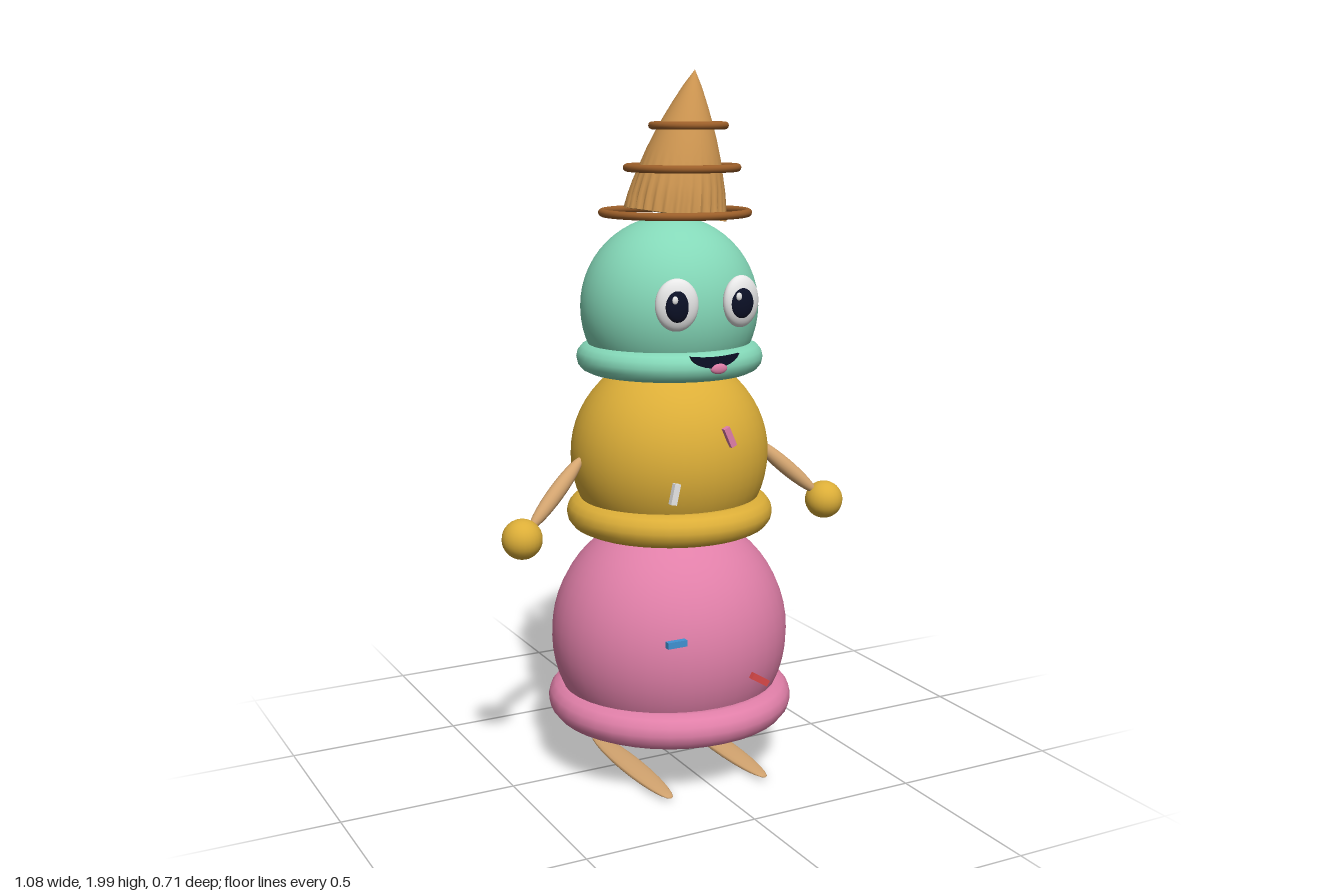
import * as THREE from 'three';

const mat = (name, color) => {
  const m = new THREE.MeshStandardMaterial({ color });
  m.name = name;
  return m;
};

export function createModel() {
  const pink = mat('strawberry pink', 0xe07fa8);
  const gold = mat('mango gold', 0xdcae38);
  const mint = mat('mint green', 0x84d8b8);
  const wafer = mat('wafer cone', 0xcd9550);
  const caramel = mat('caramel', 0x9c5f2a);
  const tan = mat('biscuit tan', 0xd4a570);
  const white = mat('white', 0xf5f5f5);
  const dark = mat('dark navy', 0x0b1026);
  const blue = mat('sprinkle blue', 0x3f92d2);
  const red = mat('sprinkle red', 0xd84848);

  const root = new THREE.Group();
  root.name = 'scoopFigure';

  const add = (name, geometry, material, x, y, z, parent = root) => {
    const mesh = new THREE.Mesh(geometry, material);
    mesh.name = name;
    mesh.position.set(x, y, z);
    parent.add(mesh);
    return mesh;
  };
  const ellipsoid = (rx, ry, rz, w = 32, h = 24) =>
    new THREE.SphereGeometry(1, w, h).scale(rx, ry, rz);
  const ring = (radius, tube) =>
    new THREE.TorusGeometry(radius, tube, 14, 40).rotateX(Math.PI / 2);

  // Three stacked scoops, each with a rolled rim near its base
  const scoops = [
    ['bottom', pink, 0.4, 0.347, 0.352, 0.328, 0.205, 0.304, 0.052],
    ['middle', gold, 0.93, 0.286, 0.288, 0.271, 0.762, 0.249, 0.047],
    ['top', mint, 1.35, 0.254, 0.254, 0.24, 1.21, 0.223, 0.041],
  ];
  for (const [name, m, y, rx, ry, rz, rimY, rimR, tube] of scoops) {
    add(name + 'Scoop', ellipsoid(rx, ry, rz, 40, 28), m, 0, y, 0);
    add(name + 'Rim', ring(rimR, tube), m, 0, rimY, 0);
  }

  // Tilted cone hat, fluted towards its base
  const profile = [
    [0, 0], [0.139, 0], [0.139, 0], [0.135, 0.04], [0.128, 0.08], [0.117, 0.125],
    [0.104, 0.17], [0.088, 0.215], [0.07, 0.26], [0.05, 0.305], [0.026, 0.355], [0, 0.4],
  ].map(([r, y]) => new THREE.Vector2(r, y));
  const flutes = 28;
  const coneGeo = new THREE.LatheGeometry(profile, flutes * 4);
  const p = coneGeo.attributes.position;
  for (let i = 0; i < p.count; i++) {
    const fade = Math.max(0, 1 - p.getY(i) / 0.13);
    const k = 1 + 0.045 * fade * Math.cos(flutes * Math.atan2(p.getX(i), p.getZ(i)));
    p.setX(i, p.getX(i) * k);
    p.setZ(i, p.getZ(i) * k);
  }
  coneGeo.computeVertexNormals();
  add('coneHat', coneGeo, wafer, 0.018, 1.606, 0).rotation.z = -0.155;

  // Level caramel hoops around the cone
  [[0.018, 1.612, 0.204], [0.04, 1.735, 0.154], [0.06, 1.85, 0.101]].forEach(
    ([x, y, r], i) => add('hatHoop' + (i + 1), ring(r, 0.011), caramel, x, y, 0));

  for (const s of [-1, 1]) {
    const side = s > 0 ? 'left' : 'right';

    // Eyes, both glancing the same way
    add(side + 'Eye', ellipsoid(0.06, 0.071, 0.029), white, s * 0.098, 1.383, 0.231)
      .rotation.y = s * 0.22;
    const pupilX = s * 0.097 - 0.009;
    add(side + 'Pupil', ellipsoid(0.036, 0.042, 0.014), dark, pupilX, 1.381, 0.253);
    add(side + 'EyeGlint', ellipsoid(0.009, 0.011, 0.005, 12, 8), white,
      pupilX - 0.014, 1.4, 0.264);

    // Spindle arm ending in a ball hand
    const shoulder = new THREE.Vector3(s * 0.275, 0.943, 0.002);
    const wrist = new THREE.Vector3(s * 0.462, 0.772, 0.064);
    const dir = wrist.clone().sub(shoulder);
    const mid = shoulder.clone().add(wrist).multiplyScalar(0.5);
    add(side + 'Arm', ellipsoid(0.023, dir.length() / 2, 0.023, 20, 16), tan, mid.x, mid.y, mid.z)
      .quaternion.setFromUnitVectors(new THREE.Vector3(0, 1, 0), dir.normalize());
    add(side + 'Hand', ellipsoid(0.056, 0.056, 0.056, 24, 16), gold, s * 0.486, 0.749, 0.068);

    // Long thin foot with its points at toe and heel
    const foot = new THREE.SphereGeometry(1, 14, 12).rotateX(Math.PI / 2).scale(0.038, 0.0125, 0.257);
    add(side + 'Foot', foot, tan, s * 0.152, 0.02, 0.047);
  }

  // Smile and tongue
  const smile = new THREE.Shape();
  smile.moveTo(-0.075, 0.004);
  smile.quadraticCurveTo(0, -0.008, 0.075, 0.004);
  smile.bezierCurveTo(0.055, -0.044, -0.055, -0.044, -0.075, 0.004);
  add('mouth', new THREE.ExtrudeGeometry(smile, { depth: 0.009, bevelEnabled: false }),
    dark, 0, 1.243, 0.258);
  add('tongue', ellipsoid(0.026, 0.015, 0.008, 16, 12), pink, 0.013, 1.209, 0.264);

  // Sprinkles
  const sprinkles = [
    [blue, -0.146, 0.474, 0.322, 0], [red, 0.117, 0.328, 0.322, -0.55],
    [pink, 0.046, 1.018, 0.266, -1.15], [white, -0.122, 0.876, 0.266, 1.35],
  ];
  sprinkles.forEach(([m, x, y, z, turn], i) => {
    add('sprinkle' + (i + 1), new THREE.BoxGeometry(0.058, 0.018, 0.016), m, x, y, z)
      .rotation.z = turn;
  });

  return root;
}
